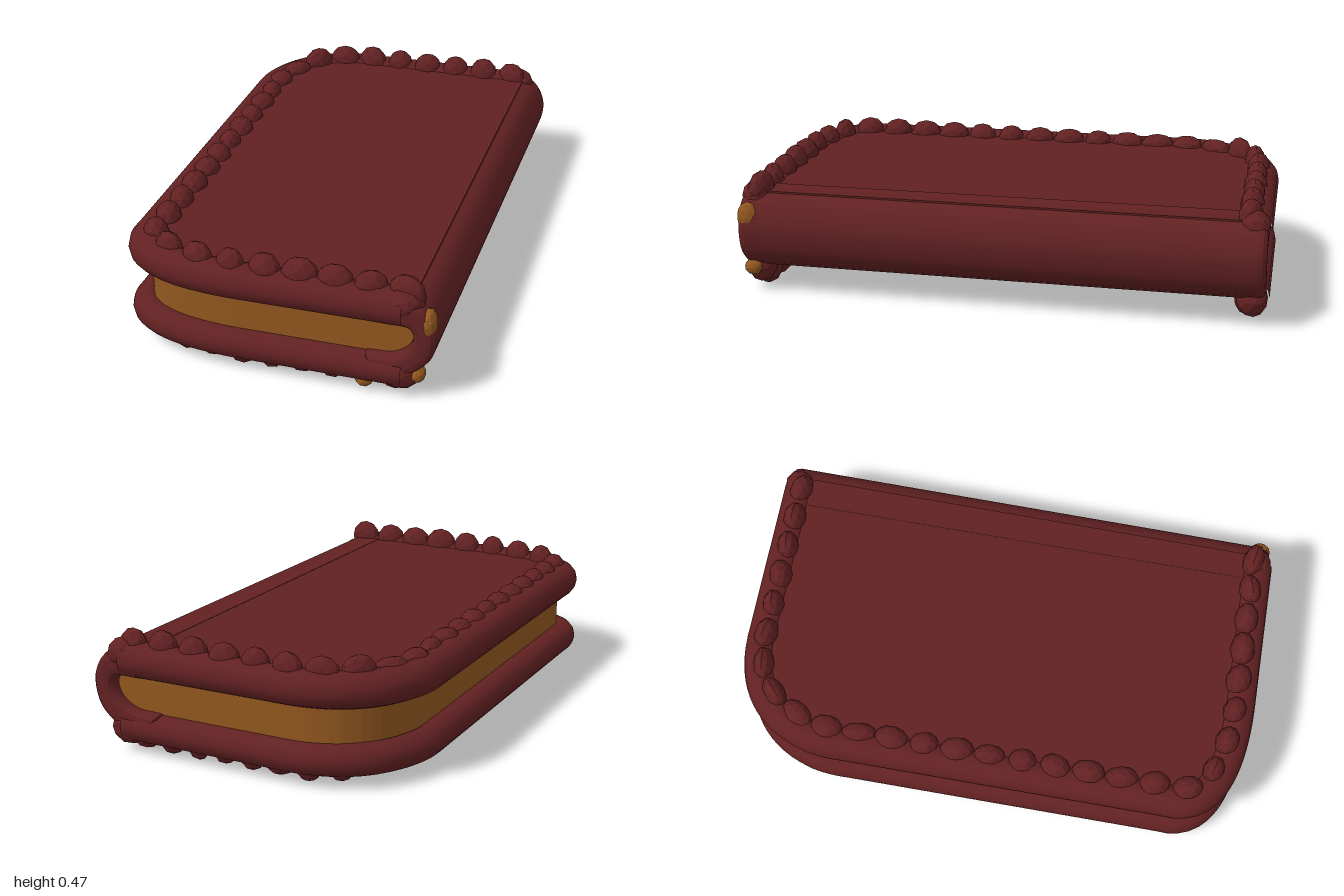
import * as THREE from 'three';

const red = new THREE.MeshStandardMaterial({ color: 0x622122 });
red.name = 'dark red leather';
const ochre = new THREE.MeshStandardMaterial({ color: 0x92571f });
ochre.name = 'ochre pages';

// Outline of the book seen from above (x, z), pulled in at the long side and at
// the ends; open on the spine side
function outline(side, end, right) {
  const l = -0.605 + side, f = 0.99 - end, b = -0.998 + end;
  const path = new THREE.Shape();
  path.autoClose = false;
  path.moveTo(right, b);
  path.lineTo(-0.2, b);
  path.quadraticCurveTo(-0.55 + side, b + 0.02, l, -0.62);
  path.lineTo(l - 0.005, 0.76);
  path.quadraticCurveTo(-0.57 + side, f - 0.01, -0.15, f);
  path.lineTo(right, f);
  return path;
}

// Slight lean of the spine: wider at the back than at the front
const lean = (x, z) => x - 0.015 * z * THREE.MathUtils.smoothstep(x, 0.2, 0.55);
function skew(geo) {
  const p = geo.attributes.position;
  for (let i = 0; i < p.count; i++) p.setX(i, lean(p.getX(i), p.getZ(i)));
  geo.computeVertexNormals();
  return geo;
}

function part(name, geo, material) {
  const mesh = new THREE.Mesh(geo, material);
  mesh.name = name;
  return mesh;
}

// Flat slab between two heights
function slab(name, shape, y0, y1, material) {
  const geo = new THREE.ExtrudeGeometry(shape, { depth: y1 - y0, bevelEnabled: false, curveSegments: 12 });
  geo.rotateX(Math.PI / 2).translate(0, y1, 0);
  return part(name, skew(geo), material);
}

// Round rim along the three open edges of a cover
function rim(name, y, radius) {
  const points = outline(radius, radius, 0.47).getSpacedPoints(60)
    .map((p) => new THREE.Vector3(lean(p.x, p.y), y, p.y));
  return part(name, new THREE.TubeGeometry(new THREE.CatmullRomCurve3(points), 120, radius, 14), red);
}

// Faceted lump with given centre, radii and turn around y
function lump(name, pos, size, turn, material) {
  const geo = new THREE.IcosahedronGeometry(1, 1);
  geo.scale(...size).rotateY(turn).translate(...pos);
  geo.computeVertexNormals();
  return part(name, geo, material);
}

// Ruffled row of lumps around the three open edges of a cover
function ruffle(name, y, right, spacing, seed, sideHeight, endHeight) {
  const group = new THREE.Group();
  group.name = name;
  let s = seed;
  const rand = () => (s = (s * 16807) % 2147483647) / 2147483647;
  const path = outline(0.105, 0.08, right);
  const n = Math.round(path.getLength() / spacing);
  for (let i = 0; i <= n; i++) {
    const p = path.getPointAt(i / n), t = path.getTangentAt(i / n);
    // the long side gets flatter towards the back
    const height = Math.abs(p.y) < 0.82 ? sideHeight + 0.012 * p.y : endHeight + 0.01 * rand();
    group.add(lump('ruffleLump', [p.x, y, p.y],
      [spacing * (0.43 + 0.14 * rand()), height, 0.04 + 0.01 * rand()],
      Math.atan2(-t.y, t.x) + (rand() - 0.5) * 0.6, red));
  }
  return group;
}

export function createModel() {
  const book = new THREE.Group();
  book.name = 'book';

  // Covers: a flat panel inside a thicker round rim
  book.add(slab('topPanel', outline(0.06, 0.06, 0.5), 0.31, 0.4, red));
  book.add(rim('topRim', 0.355, 0.066));
  book.add(slab('bottomPanel', outline(0.06, 0.06, 0.47), 0.1, 0.15, red));
  book.add(rim('bottomRim', 0.106, 0.058));
  book.add(slab('pages', outline(0.082, 0.06, 0.53), 0.13, 0.33, ochre));

  // Curved spine wrapping from one cover to the other
  const v = (x, y) => new THREE.Vector2(x, y);
  const spineShape = new THREE.Shape();
  spineShape.moveTo(0.42, 0.371);
  spineShape.lineTo(0.48, 0.369);
  spineShape.splineThru([v(0.52, 0.35), v(0.548, 0.31), v(0.559, 0.26), v(0.543, 0.19), v(0.495, 0.142), v(0.45, 0.131)]);
  spineShape.lineTo(0.36, 0.13);
  spineShape.lineTo(0.36, 0.138);
  spineShape.splineThru([v(0.44, 0.145), v(0.505, 0.185), v(0.535, 0.24), v(0.53, 0.29), v(0.495, 0.322), v(0.42, 0.325)]);
  const spineGeo = new THREE.ExtrudeGeometry(spineShape, {
    depth: 1.9, bevelSize: 0.03, bevelThickness: 0.03, bevelSegments: 3, curveSegments: 14,
  });
  spineGeo.translate(0, 0, -0.955);
  book.add(part('spine', skew(spineGeo), red));

  // Ruffled borders
  book.add(ruffle('topRuffle', 0.4, 0.46, 0.125, 11, 0.05, 0.066));
  book.add(ruffle('bottomRuffle', 0.08, 0.42, 0.11, 29, 0.052, 0.063));

  // Small knots at the ends of the spine
  for (const z of [-0.935, 0.925]) {
    book.add(lump('upperSpineKnot', [lean(0.475, z), 0.375, z], [0.065, 0.06, 0.058], 0.3, red));
    book.add(lump('lowerSpineKnot', [lean(0.46, z), 0.1, z], [0.075, 0.07, 0.058], 0.2, red));
  }

  // Worn ochre patches near the front end of the spine
  book.add(lump('upperWornPatch', [0.544, 0.312, 0.937], [0.03, 0.06, 0.042], 0, ochre));
  book.add(lump('lowerWornPatch', [0.51, 0.105, 0.937], [0.028, 0.032, 0.036], 0, ochre));
  book.add(lump('bottomWornPatch', [0.32, 0.047, 0.935], [0.033, 0.03, 0.033], 0, ochre));

  return book;
}
